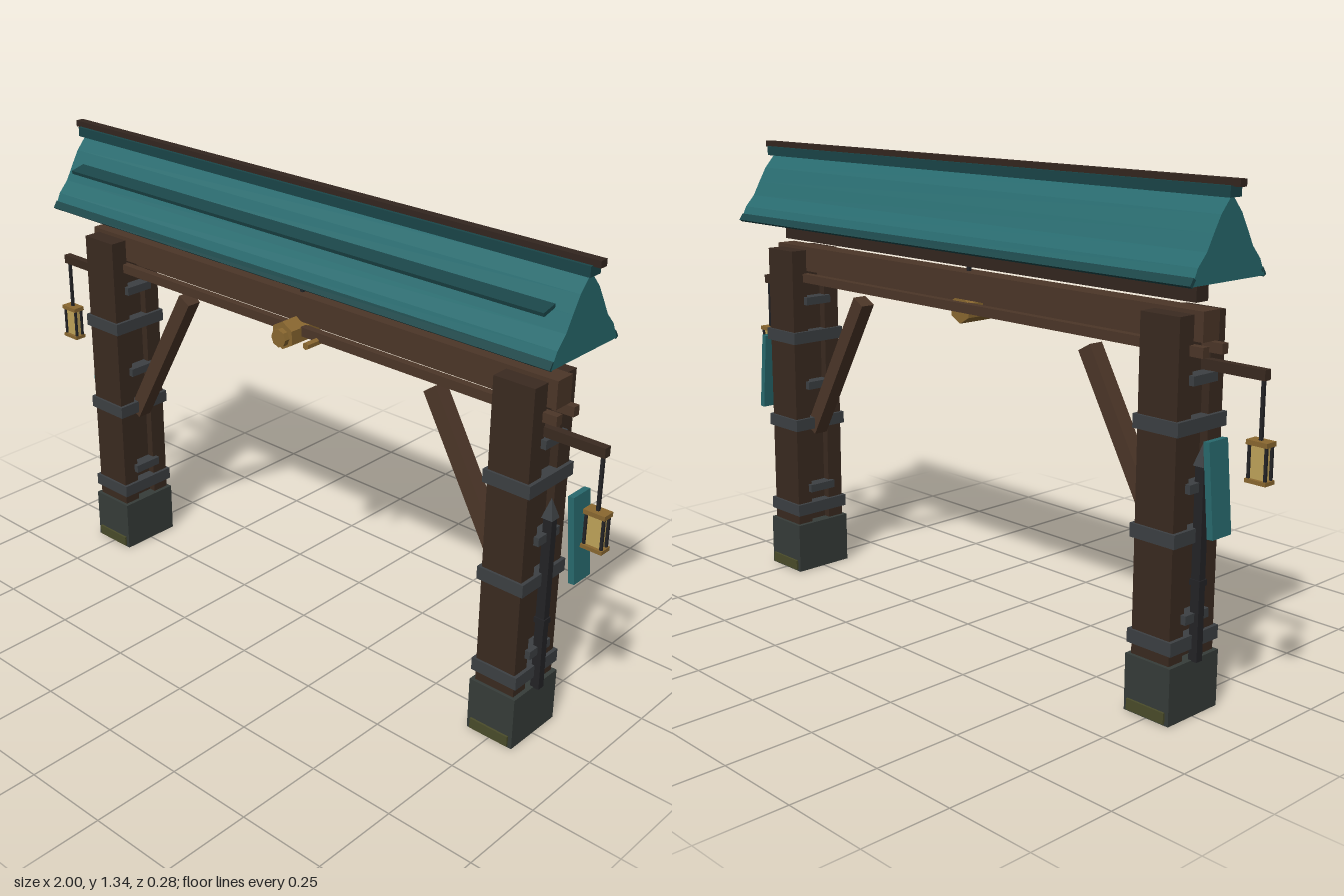
import * as THREE from 'three';

const mat = (color) => new THREE.MeshStandardMaterial({ color, flatShading: true });
const M = {
  wood: mat(0x3a2a20), beam: mat(0x4c3628), iron: mat(0x3c4043), darkIron: mat(0x232326),
  stone: mat(0x363c39), moss: mat(0x4a4c2a), teal: mat(0x286a6e), darkTeal: mat(0x1a4548),
  gold: mat(0x8a6830), glass: mat(0xc0a45a), ridge: mat(0x33261f),
};

export function createModel() {
  const root = new THREE.Group();
  root.name = 'gateway';

  const add = (parent, name, geo, material, x = 0, y = 0, z = 0) => {
    const m = new THREE.Mesh(geo, material);
    m.name = name;
    m.position.set(x, y, z);
    parent.add(m);
    return m;
  };
  const box = (parent, name, material, w, h, d, x, y, z) =>
    add(parent, name, new THREE.BoxGeometry(w, h, d), material, x, y, z);

  // One pillar with its fittings; s is the side sign
  const pillar = (s) => {
    const g = new THREE.Group();
    g.name = s > 0 ? 'leftPillar' : 'rightPillar';
    root.add(g);
    const X = 0.75 * s;

    box(g, 'footing', M.stone, 0.143, 0.152, 0.188, X, 0.076, 0);
    for (const f of [1, -1]) {
      box(g, 'moss', M.moss, 0.12, 0.03, 0.01, X, 0.02, f * 0.095);
      box(g, 'post', M.wood, 0.12, 0.865, 0.052, X, 0.585, f * 0.059);
    }
    box(g, 'postCore', M.wood, 0.075, 0.8, 0.07, X, 0.55, 0);

    // Iron straps and cleats
    for (const y of [0.2, 0.475, 0.75]) box(g, 'strap', M.iron, 0.14, 0.036, 0.184, X, y, 0);
    for (const y of [0.265, 0.597, 0.862]) box(g, 'cleat', M.iron, 0.15, 0.024, 0.09, X, y, 0);

    // Pointed stake on the outer face
    const sx = 0.824 * s;
    box(g, 'stake', M.darkIron, 0.026, 0.5, 0.022, sx, 0.4, 0);
    box(g, 'stakeCollar', M.darkIron, 0.032, 0.016, 0.028, sx, 0.355, 0);
    add(g, 'stakeTip', new THREE.ConeGeometry(0.023, 0.055, 4).rotateY(Math.PI / 4), M.iron, sx, 0.677, 0);

    // Diagonal brace up to the beam
    const brace = box(g, 'brace', M.beam, 0.045, 0.5, 0.045, 0.577 * s, 0.668, 0);
    brace.rotation.z = s * Math.atan2(0.245, 0.435);

    // Tilted side panel
    const panel = box(g, 'sidePanel', M.teal, 0.018, 0.235, 0.07, 0.892 * s, 0.613, -0.028);
    panel.rotation.z = s * 0.09;

    lantern(g, s);
  };

  // Lantern on its arm
  const lantern = (parent, s) => {
    const g = new THREE.Group();
    g.name = 'lantern';
    g.position.set(0.97 * s, 0, 0.027);
    parent.add(g);
    box(g, 'lanternArm', M.wood, 0.185, 0.026, 0.022, -0.082 * s, 0.892, 0);
    box(g, 'lanternHanger', M.darkIron, 0.008, 0.15, 0.008, 0, 0.805, 0);
    box(g, 'lanternCap', M.gold, 0.06, 0.012, 0.036, 0, 0.73, 0);
    box(g, 'lanternBase', M.gold, 0.06, 0.01, 0.036, 0, 0.637, 0);
    box(g, 'lanternGlass', M.glass, 0.042, 0.084, 0.018, 0, 0.683, 0);
    for (const a of [1, -1]) for (const b of [1, -1])
      box(g, 'lanternBar', M.darkIron, 0.007, 0.084, 0.006, a * 0.024, 0.683, b * 0.011);
  };

  for (const s of [1, -1]) pillar(s);

  // Cross beams
  box(root, 'mainBeam', M.beam, 1.67, 0.074, 0.06, 0, 0.99, 0);
  for (const f of [1, -1]) box(root, 'sideRail', M.beam, 1.7, 0.026, 0.022, 0, 0.933, f * 0.036);
  box(root, 'roofBeam', M.ridge, 1.61, 0.06, 0.044, 0, 1.073, 0);

  // Central six-sided barrel with its hanger and peg
  const drum = (name, r, n, z0, z1, material, x, y) =>
    add(root, name, new THREE.CylinderGeometry(r, r, z1 - z0, n).rotateX(Math.PI / 2),
      material, x, y, (z0 + z1) / 2);
  drum('barrel', 0.04, 6, -0.03, 0.084, M.gold, 0, 0.924);
  drum('barrelNose', 0.026, 8, 0.08, 0.1, M.gold, 0, 0.92);
  drum('peg', 0.011, 6, 0.03, 0.09, M.gold, 0.09, 0.92);
  box(root, 'barrelHanger', M.darkIron, 0.01, 0.12, 0.01, 0, 0.99, 0.004);

  // Ribbed roof: slope points given as (distance up the slope, rib height)
  const ribs = [[0, 0], [0.19, 0.007], [0.37, 0], [0.56, 0.004], [0.76, 0.007], [0.97, 0]];
  const side = ribs.map(([t, h]) => [0.135 * (1 - t) + h * 0.82, 1.1 + 0.2 * t + h * 0.57]);
  const outline = [...side, ...side.map(([z, y]) => [-z, y]).reverse()];
  const roofGeo = new THREE.ExtrudeGeometry(
    new THREE.Shape(outline.map(([z, y]) => new THREE.Vector2(z, y))),
    { depth: 1.76, bevelEnabled: false });
  roofGeo.translate(0, 0, -0.88).rotateY(Math.PI / 2);
  add(root, 'roof', roofGeo, M.teal);
  for (const f of [1, -1]) {
    const eave = box(root, 'eaveTrim', M.darkTeal, 1.76, 0.022, 0.01, 0, 1.109, f * 0.131);
    eave.rotation.x = -f * 0.59;
  }

  // Loose strip along the front slope
  const strip = box(root, 'roofStrip', M.darkTeal, 1.66, 0.01, 0.045, 0, 1.217, 0.081);
  strip.rotation.x = 0.25;

  // Ridge
  box(root, 'ridgeCap', M.darkTeal, 1.78, 0.027, 0.042, 0, 1.306, 0);
  box(root, 'ridgeBeam', M.ridge, 1.82, 0.018, 0.024, 0, 1.326, 0);

  return root;
}
